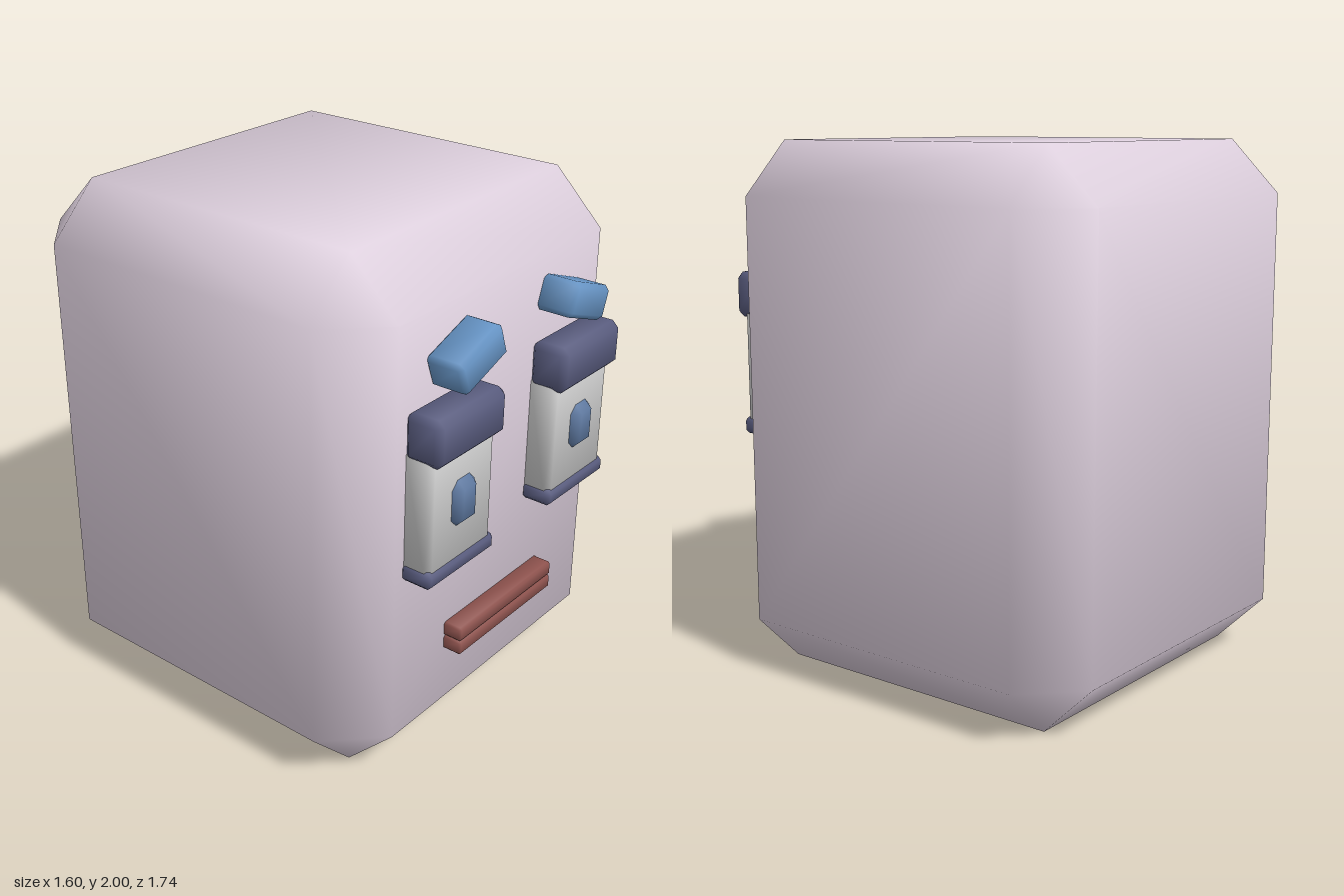
import * as THREE from 'three';
import { ConvexGeometry } from 'three/addons/geometries/ConvexGeometry.js';

const COLORS = {
  skin: 0xe0d2e0, lid: 0x5a5d80, white: 0xcccccc, pupil: 0x5f7aa2, brow: 0x6795c6, lip: 0x90544f,
};
const materials = Object.fromEntries(
  Object.entries(COLORS).map(([k, color]) => [k, new THREE.MeshStandardMaterial({ color })]));

// Box with one flat bevel on every edge, shaded smoothly across the bevel
function bevelBox(w, h, d, bevel) {
  const half = [w / 2, h / 2, d / 2];
  const points = [];
  for (const sx of [-1, 1]) for (const sy of [-1, 1]) for (const sz of [-1, 1]) {
    for (let axis = 0; axis < 3; axis++) {
      const p = [sx, sy, sz].map((s, i) => s * (i === axis ? half[i] : half[i] - bevel));
      points.push(new THREE.Vector3(...p));
    }
  }
  const geo = new ConvexGeometry(points);
  const pos = geo.attributes.position;
  const normal = new THREE.Vector3();
  for (let i = 0; i < pos.count; i++) {
    // angle-weighted average of the faces that meet at this vertex
    const n = half.map((e, a) => {
      const c = pos.getComponent(i, a);
      return Math.sign(c) * (Math.abs(c) > e - bevel / 2 ? 2.57 : 1);
    });
    normal.set(...n).normalize();
    geo.attributes.normal.setXYZ(i, normal.x, normal.y, normal.z);
  }
  return geo;
}

// Named bevelled box given by its extents
function part(name, material, [x0, x1], [y0, y1], [z0, z1], bevel) {
  const mesh = new THREE.Mesh(bevelBox(x1 - x0, y1 - y0, z1 - z0, bevel), materials[material]);
  mesh.name = name;
  mesh.position.set((x0 + x1) / 2, (y0 + y1) / 2, (z0 + z1) / 2);
  return mesh;
}

// Eye and brow; side is +1 for the left, -1 for the right
function createEye(side) {
  const eye = new THREE.Group();
  eye.name = side > 0 ? 'leftEye' : 'rightEye';
  const span = (a, b) => (side > 0 ? [a, b] : [-b, -a]);

  eye.add(
    part('eyeWhite', 'white', span(0.187, 0.553), [0.87, 1.35], [0.71, 0.835], 0.02),
    part('upperLid', 'lid', span(0.178, 0.563), [1.31, 1.487], [0.72, 0.873], 0.025),
    part('lowerLid', 'lid', span(0.178, 0.563), [0.845, 0.91], [0.72, 0.845], 0.015),
    part('pupil', 'pupil', span(0.307, 0.433), [1.033, 1.21], [0.77, 0.865], 0.03),
  );

  const brow = part('eyebrow', 'brow', span(0.2, 0.45), [1.565, 1.695], [0.72, 0.873], 0.018);
  brow.rotation.z = -side * 0.35;
  eye.add(brow);
  return eye;
}

export function createModel() {
  const model = new THREE.Group();
  model.name = 'blockHead';

  model.add(part('head', 'skin', [-0.8, 0.8], [0, 2], [-0.87, 0.73], 0.2));
  for (const side of [1, -1]) model.add(createEye(side));

  // Mouth made of two stacked lips
  const mouth = new THREE.Group();
  mouth.name = 'mouth';
  mouth.add(
    part('upperLip', 'lip', [-0.3, 0.3], [0.48, 0.537], [0.71, 0.803], 0.008),
    part('lowerLip', 'lip', [-0.3, 0.3], [0.422, 0.479], [0.71, 0.803], 0.008),
  );
  model.add(mouth);
  return model;
}
